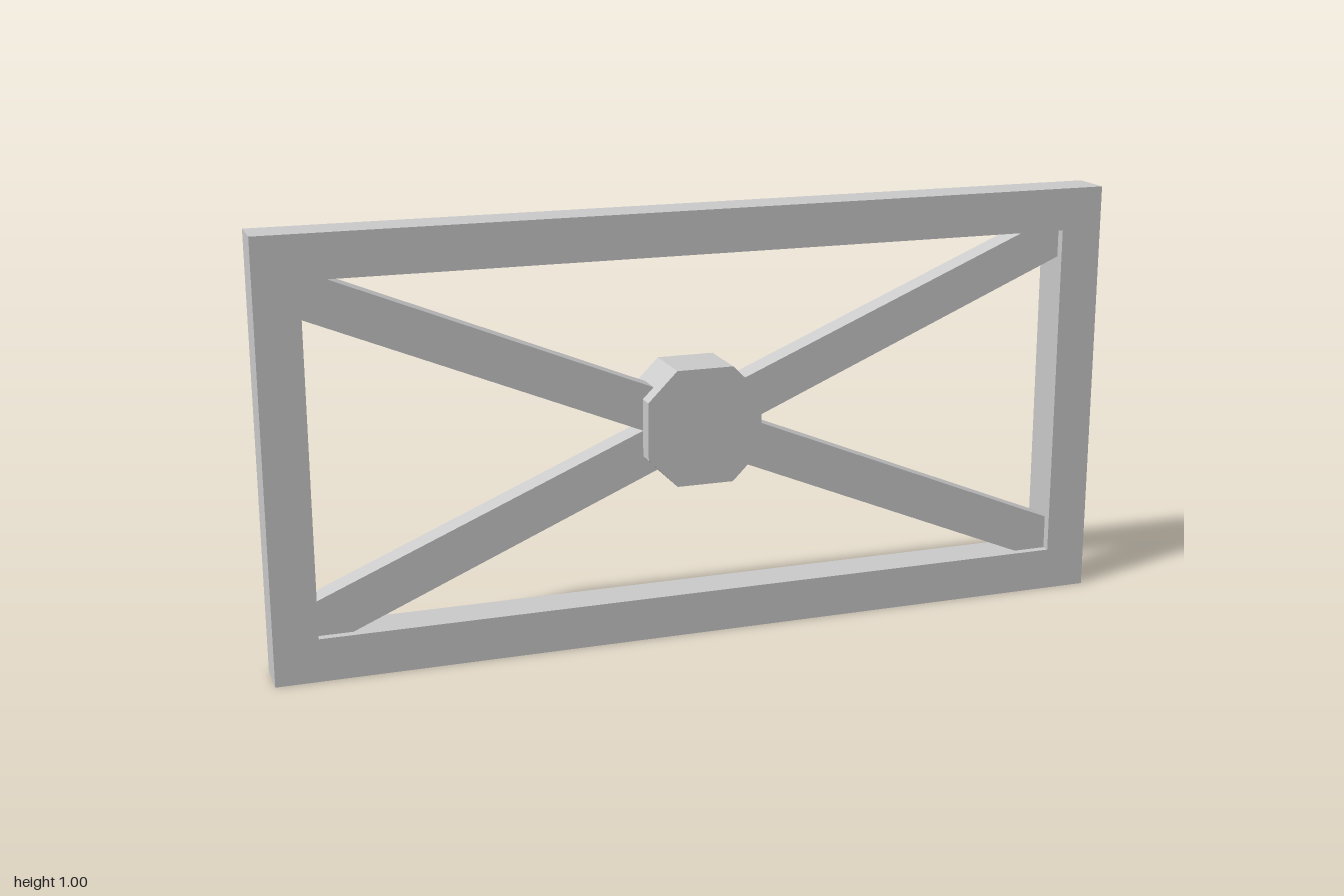
import * as THREE from 'three';

const material = new THREE.MeshStandardMaterial({ color: 0xcccccc, flatShading: true });

// Flat plate from an outline in x/y, centred on z = 0
function plate(name, points, depth, hole) {
  const toVectors = (list) => list.map(([x, y]) => new THREE.Vector2(x, y));
  const shape = new THREE.Shape(toVectors(points));
  if (hole) shape.holes.push(new THREE.Path(toVectors(hole)));
  const geometry = new THREE.ExtrudeGeometry(shape, { depth, bevelEnabled: false });
  geometry.translate(0, 0, -depth / 2);
  const mesh = new THREE.Mesh(geometry, material);
  mesh.name = name;
  return mesh;
}

const rectangle = (x, y0, y1) => [[-x, y0], [x, y0], [x, y1], [-x, y1]];

export function createModel() {
  const group = new THREE.Group();
  group.name = 'crossBracedFrame';

  // Rectangular outer frame
  group.add(plate('frame', rectangle(1, 0, 1), 0.1, rectangle(0.9, 0.1, 0.9)));

  // Diagonal braces, trimmed to fit the frame's inner corners
  group.add(plate('risingBrace', [
    [-0.9, 0.1], [-0.82, 0.1], [0.9, 0.834], [0.9, 0.9], [0.81, 0.9], [-0.9, 0.18],
  ], 0.06));
  group.add(plate('fallingBrace', [
    [-0.9, 0.813], [0.82, 0.1], [0.9, 0.1], [0.9, 0.18], [-0.85, 0.9], [-0.9, 0.9],
  ], 0.06));

  // Octagonal hub over the crossing
  const r = 0.136, e = 0.067;
  const hub = plate('hub', [
    [r, -e], [r, e], [e, r], [-e, r], [-r, e], [-r, -e], [-e, -r], [e, -r],
  ], 0.14);
  hub.position.set(-0.007, 0.506, 0);
  group.add(hub);

  return group;
}
